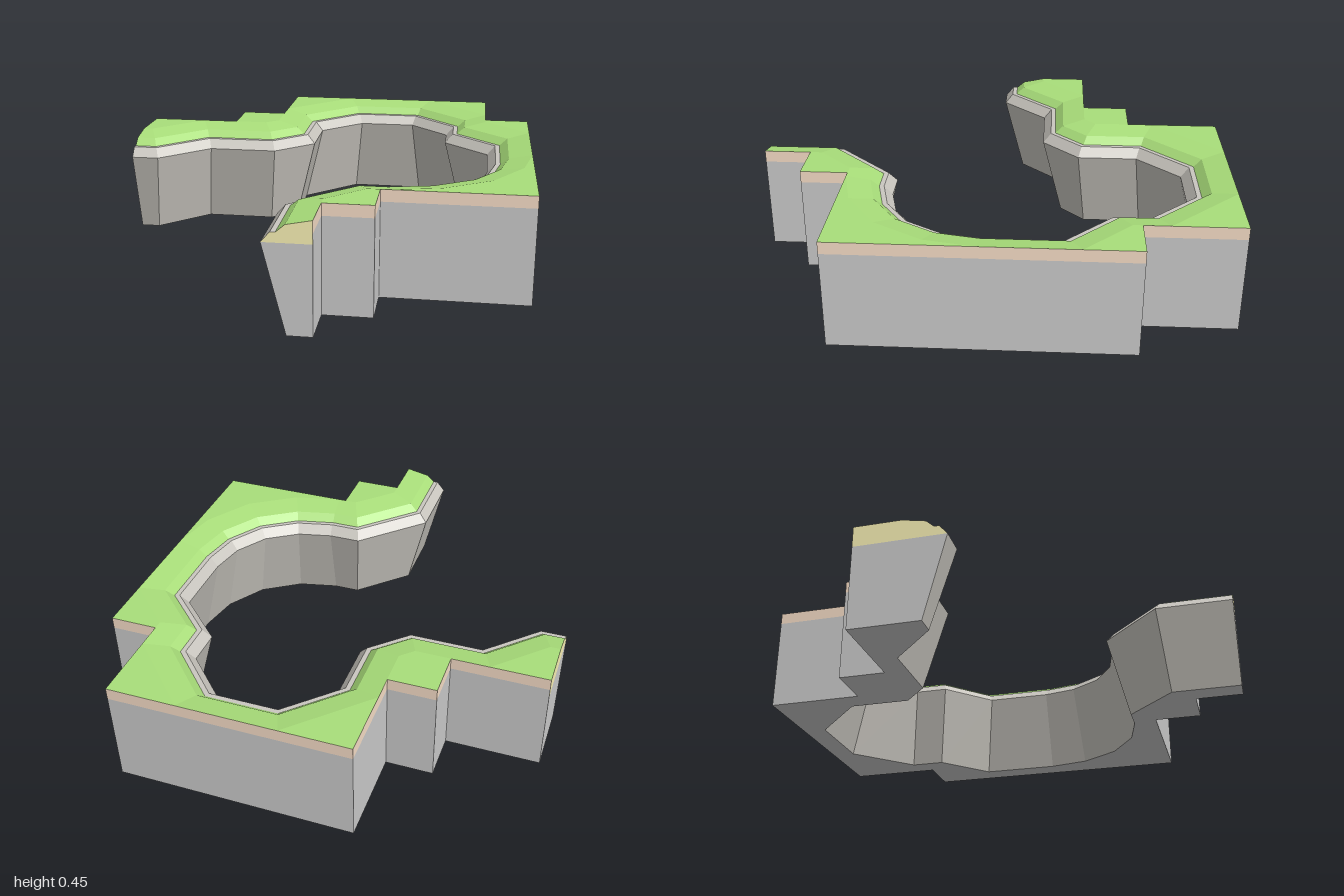
import * as THREE from 'three';

const mat = (color) => new THREE.MeshStandardMaterial({ color, flatShading: true });
const STONE = mat(0xcccccc), ROCK = mat(0xcac7c0), DIRT = mat(0xf8dfc8), CUT = mat(0xfbf3b6), GRASS = mat(0xa9de7a);

// Overhanging lip of the cliff, from the west end round to the south end [x, z]
const LIP = [
  [-0.9, -0.01], [-0.78, -0.01], [-0.58, -0.21], [-0.275, -0.21], [-0.11, -0.37], [-0.11, -0.63],
  [0.07, -0.81], [0.33, -0.81], [0.51, -0.63], [0.51, -0.48], [0.71, -0.29], [0.71, 0],
  [0.68, 0.15], [0.595, 0.285], [0.46, 0.375], [0.31, 0.41], [0.17, 0.41], [-0.09, 0.67], [-0.09, 1],
];
// Stepped outer outline in the same direction [x, z]
const OUTLINE = [
  [-0.9, -0.4], [-0.5, -0.4], [-0.5, -0.6], [-0.3, -0.6], [-0.3, -1], [0.7, -1], [0.7, -0.6],
  [0.9, -0.6], [0.9, 0.6], [0.3, 0.6], [0.3, 0.8], [0.1, 0.8], [0.1, 1],
];
// Cross-section as [distance outward from the lip, height]
const BASE = [0.09, 0], EDGE = [0, 0.36], BEVEL = [0.035, 0.4], LEDGE = [0.055, 0.4],
  BANK = [0.09, 0.43], RIM = [0.189, 0.45];

// Mitred parallel of the lip
function offset(d) {
  const left = (a, b) => {
    const l = Math.hypot(b[0] - a[0], b[1] - a[1]);
    return [(b[1] - a[1]) / l, -(b[0] - a[0]) / l];
  };
  return LIP.map((p, i) => {
    const n1 = left(LIP[Math.max(i - 1, 0)], LIP[Math.max(i, 1)]);
    const last = LIP.length - 1;
    const n2 = left(LIP[Math.min(i, last - 1)], LIP[Math.min(i + 1, last)]);
    const k = d / (1 + n1[0] * n2[0] + n1[1] * n2[1]);
    return [p[0] + (n1[0] + n2[0]) * k, p[1] + (n1[1] + n2[1]) * k];
  });
}

// Band of quads between rows of points
function band(rows) {
  const pos = [];
  for (let r = 0; r + 1 < rows.length; r++) {
    const a = rows[r], b = rows[r + 1];
    for (let i = 0; i + 1 < a.length; i++) {
      pos.push(...a[i], ...a[i + 1], ...b[i + 1], ...a[i], ...b[i + 1], ...b[i]);
    }
  }
  const g = new THREE.BufferGeometry();
  g.setAttribute('position', new THREE.Float32BufferAttribute(pos, 3));
  g.computeVertexNormals();
  return g;
}
const lipRow = ([d, y]) => offset(d).map(([x, z]) => [x, y, z]);
const outRow = (y) => OUTLINE.map(([x, z]) => [x, y, z]);
const flat = (pts) => new THREE.ShapeGeometry(new THREE.Shape(pts.map(([x, y]) => new THREE.Vector2(x, y))));

export function createModel() {
  const group = new THREE.Group();
  const add = (name, geometry, material) => {
    const mesh = new THREE.Mesh(geometry, material);
    mesh.name = name;
    group.add(mesh);
  };

  // Inner cliff, bevelled lip and ledge
  add('cliffFace', band([BASE, EDGE].map(lipRow)), ROCK);
  add('cliffLip', band([EDGE, BEVEL, LEDGE].map(lipRow)), ROCK);

  // Grass bank and level top
  add('grassBank', band([LEDGE, BANK, RIM].map(lipRow)), GRASS);
  const top = [...OUTLINE, ...offset(RIM[0]).reverse()];
  add('grassTop', flat(top.map(([x, z]) => [x, -z])).rotateX(-Math.PI / 2).translate(0, RIM[1], 0), GRASS);

  // Outer walls with a soil layer above the stone
  add('outerSoil', band([outRow(0.45), outRow(0.4)]), DIRT);
  add('outerStone', band([outRow(0.4), outRow(0)]), STONE);

  // Underside
  add('underside', flat([...OUTLINE, ...offset(BASE[0]).reverse()]).rotateX(Math.PI / 2), STONE);

  // Cut ends: stone below, soil above
  const ends = [
    { name: 'southEnd', at: (d) => -0.09 + d, outer: 0.1, place: (g) => g.translate(0, 0, 1) },
    { name: 'westEnd', at: (d) => -0.01 - d, outer: -0.4, place: (g) => g.rotateY(-Math.PI / 2).translate(-0.9, 0, 0) },
  ];
  for (const { name, at, outer, place } of ends) {
    const pt = ([d, y]) => [at(d), y];
    add(name + 'Stone', place(flat([pt(BASE), pt(EDGE), [outer, 0.36], [outer, 0]])), STONE);
    add(name + 'Soil', place(flat([...[EDGE, BEVEL, LEDGE, BANK, RIM].map(pt), [outer, 0.45], [outer, 0.36]])), CUT);
  }
  return group;
}
